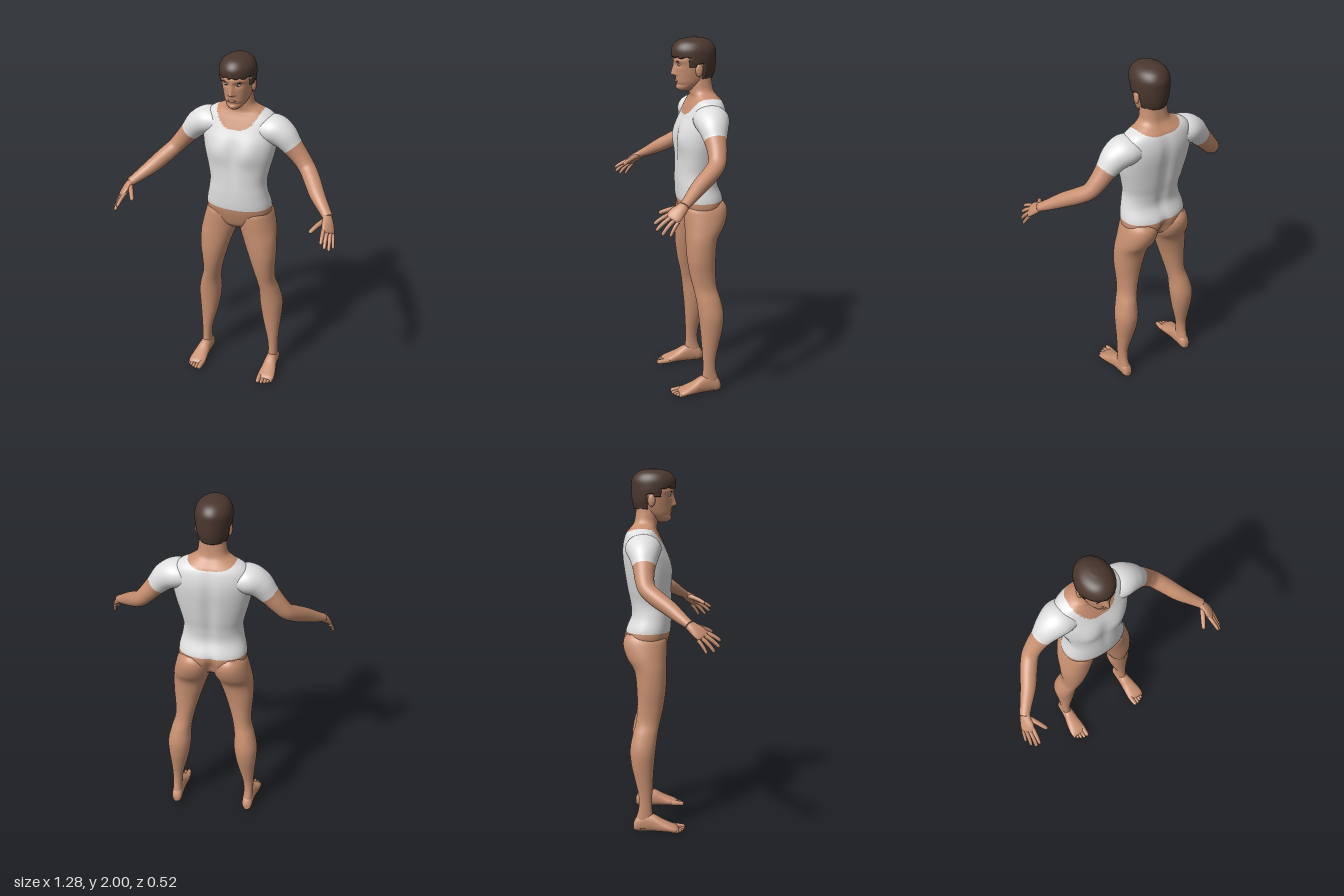
import * as THREE from 'three';

const flat = (name, color) => Object.assign(new THREE.MeshStandardMaterial({ color }), { name });
const V = (x, y, z) => new THREE.Vector3(x, y, z);
const bump = (d, w) => Math.exp(-(d * d) / (w * w));

// Smooth interpolation through the rows of a section list
function sample(rows, t) {
  const f = t * (rows.length - 1), i = Math.min(Math.floor(f), rows.length - 2), u = f - i;
  const at = k => rows[Math.max(0, Math.min(rows.length - 1, k))];
  return rows[i].map((_, c) => {
    const p0 = at(i - 1)[c], p1 = at(i)[c], p2 = at(i + 1)[c], p3 = at(i + 2)[c];
    return p1 + 0.5 * u * (p2 - p0 + u * (2 * p0 - 5 * p1 + 4 * p2 - p3 + u * (3 * (p1 - p2) + p3 - p0)));
  });
}

// Loft through rows [x, y, z, a, b]: a is the radius along ref, b the radius across it.
// axis fixes the section normal; otherwise it follows the path.
function loft(name, rows, mats, { ref = V(1, 0, 0), axis, segs = 32, steps = 40, n = 2, warp, paint } = {}) {
  const pos = [], faces = [];
  const row = t => sample(rows, Math.max(0, Math.min(1, t)));
  const pt = r => V(r[0], r[1], r[2]);
  const pw = c => Math.sign(c) * Math.abs(c) ** (2 / n);
  for (let i = 0; i <= steps; i++) {
    const t = i / steps, r = row(t);
    const T = axis || pt(row(t + 0.02)).sub(pt(row(t - 0.02))).normalize();
    const u = ref.clone().addScaledVector(T, -T.dot(ref)).normalize(), v = T.clone().cross(u);
    for (let j = 0; j < segs; j++) {
      const q = (j / segs) * Math.PI * 2;
      const p = pt(r).addScaledVector(u, r[3] * pw(Math.cos(q))).addScaledVector(v, r[4] * pw(Math.sin(q)));
      if (warp) warp(p);
      pos.push(p.x, p.y, p.z);
    }
  }
  for (let i = 0; i < steps; i++) for (let j = 0; j < segs; j++) {
    const k = (j + 1) % segs, a = i * segs + j, b = i * segs + k;
    faces.push([a, b, b + segs], [a, b + segs, a + segs]);
  }
  // End caps
  const last = steps * segs, c0 = pos.length / 3;
  pos.push(...rows[0].slice(0, 3), ...rows[rows.length - 1].slice(0, 3));
  for (let j = 0; j < segs; j++) {
    const k = (j + 1) % segs;
    faces.push([c0, k, j], [c0 + 1, last + j, last + k]);
  }
  const geo = new THREE.BufferGeometry();
  geo.setAttribute('position', new THREE.Float32BufferAttribute(pos, 3));
  // Sort faces into one group per colour
  if (paint) {
    const sets = mats.map(() => []);
    for (const f of faces) {
      const m = V(0, 0, 0);
      f.forEach(k => m.add(V(pos[k * 3], pos[k * 3 + 1], pos[k * 3 + 2])));
      sets[paint(m.divideScalar(3))].push(...f);
    }
    let start = 0;
    sets.forEach((s, k) => { geo.addGroup(start, s.length, k); start += s.length; });
    geo.setIndex(sets.flat());
  } else geo.setIndex(faces.flat());
  geo.computeVertexNormals();
  const mesh = new THREE.Mesh(geo, mats);
  mesh.name = name;
  return mesh;
}

// Horizontal section: height, x range, front z, back z
const slab = (y, x0, x1, zf, zb) => [(x0 + x1) / 2, y, (zf + zb) / 2, Math.abs(x1 - x0) / 2, (zf - zb) / 2];
const even = ([y, r, zf, zb]) => slab(y, -r, r, zf, zb);
const UP = V(0, 1, 0);

export function createModel() {
  const skin = flat('skin', 0xc78f70), shirt = flat('shirt white', 0xe0e0e0), hair = flat('hair brown', 0x4a372e);
  const lip = flat('lip', 0xb0745c), white = flat('eye white', 0xe8e4de), dark = flat('iris dark', 0x33241c);
  const model = new THREE.Group();
  model.name = 'standingMan';
  const ball = (name, mat, p, s) => {
    const m = new THREE.Mesh(new THREE.SphereGeometry(1, 20, 14).scale(...s).translate(...p), mat);
    m.name = name;
    return m;
  };

  // Torso, pelvis and neck, with the shirt as a colour region
  const torso = [
    [0.965, 0.04, -0.07, -0.16], [1.0, 0.12, -0.03, -0.215], [1.06, 0.18, -0.008, -0.245], [1.12, 0.187, 0.005, -0.247],
    [1.2, 0.17, 0.01, -0.218], [1.27, 0.163, 0.01, -0.222], [1.35, 0.178, 0.008, -0.238], [1.44, 0.2, 0.005, -0.252],
    [1.52, 0.212, -0.006, -0.262], [1.58, 0.212, -0.028, -0.262], [1.63, 0.2, -0.05, -0.252], [1.662, 0.17, -0.065, -0.238],
    [1.685, 0.122, -0.072, -0.218], [1.712, 0.083, -0.068, -0.2], [1.76, 0.072, -0.065, -0.19], [1.82, 0.068, -0.07, -0.185],
  ];
  model.add(loft('torso', torso.map(even), [skin, shirt], {
    axis: UP, segs: 72, steps: 130, n: 2.25,
    warp: p => {
      const ax = Math.abs(p.x);
      if (p.z > -0.1) p.z += 0.016 * bump(ax - 0.085, 0.06) * bump(p.y - 1.46, 0.07) - 0.006 * bump(ax, 0.02) * bump(p.y - 1.4, 0.15);
      else p.z += 0.014 * bump(ax, 0.03) * bump(p.y - 1.4, 0.24) + 0.03 * bump(ax, 0.025) * bump(p.y - 1.04, 0.06);
    },
    paint: m => {
      const neckline = m.z > -0.15 ? 1.585 + (Math.abs(m.x) / 0.13) ** 3 * 0.1 : 1.655 + (Math.abs(m.x) / 0.13) ** 3 * 0.03;
      return m.y > 1.11 && m.y < neckline ? 1 : 0;
    },
  }));

  // Head with brow, eye sockets, nose and chin
  const head = [
    [1.712, 0.02, -0.015, -0.06], [1.728, 0.042, 0.002, -0.1], [1.755, 0.061, 0.008, -0.155], [1.785, 0.072, 0.01, -0.183],
    [1.82, 0.08, 0.012, -0.195], [1.86, 0.086, 0.015, -0.2], [1.9, 0.088, 0.018, -0.2], [1.94, 0.082, 0.01, -0.195],
    [1.972, 0.055, -0.02, -0.165], [1.985, 0.02, -0.06, -0.12],
  ];
  model.add(loft('head', head.map(even), skin, {
    axis: UP, segs: 96, steps: 90,
    warp: p => {
      if (p.z < -0.04) return;
      const ax = Math.abs(p.x), s = (1.872 - p.y) / 0.066;
      const nose = s < 0 ? 0 : s < 1 ? 0.004 + 0.024 * s : 0.028 * bump(s - 1, 0.12);
      p.z += nose * bump(p.x, 0.009 + 0.007 * Math.max(0, Math.min(1, s)));
      p.z += 0.005 * bump(p.y - 1.88, 0.012) - 0.009 * bump(ax - 0.034, 0.017) * bump(p.y - 1.857, 0.013);
      p.z += 0.005 * bump(p.x, 0.02) * bump(p.y - 1.73, 0.012) - 0.004 * bump(p.y - 1.75, 0.008);
    },
  }));
  model.add(ball('lips', lip, [0, 1.769, 0.006], [0.023, 0.007, 0.009]));

  // Hair cap: below the hairline the shell tucks into the head
  const cap = [
    [1.775, 0.075, 0, -0.193], [1.82, 0.088, 0.015, -0.206], [1.86, 0.094, 0.024, -0.211], [1.9, 0.098, 0.031, -0.212],
    [1.94, 0.095, 0.032, -0.21], [1.972, 0.078, 0.012, -0.19], [1.991, 0.05, -0.02, -0.16], [2.0, 0.015, -0.07, -0.12],
  ];
  model.add(loft('hair', cap.map(even), hair, {
    axis: UP, segs: 80, steps: 70,
    warp: p => {
      const line = p.z > -0.045 ? 1.897 + 0.005 * Math.sin(p.x * 170) : p.z > -0.085 ? 1.85 : p.z > -0.125 ? 1.865 : 1.785;
      if (p.y < line) { p.x *= 0.86; p.z = -0.09 + (p.z + 0.09) * 0.84; }
    },
  }));

  for (const s of [1, -1]) {
    const side = s > 0 ? 'left' : 'right';
    const flip = rows => rows.map(([x, ...r]) => [x * s, ...r]);
    const limb = (part, rows, mats, opts) => model.add(loft(side + part, flip(rows), mats, opts));

    // Eyes, brows and ears
    model.add(
      ball(side + 'Eye', white, [s * 0.034, 1.857, -0.001], [0.013, 0.006, 0.005]),
      ball(side + 'Iris', dark, [s * 0.033, 1.857, 0.002], [0.005, 0.005, 0.004]),
      ball(side + 'Brow', hair, [s * 0.036, 1.877, 0.008], [0.02, 0.004, 0.005]),
      ball(side + 'Ear', skin, [s * 0.087, 1.832, -0.1], [0.011, 0.034, 0.021]));

    // Arm, with the sleeve as a colour region
    limb('Arm', [
      [0.1, 1.575, -0.145, 0.06, 0.085], [0.185, 1.58, -0.143, 0.078, 0.097], [0.247, 1.55, -0.139, 0.074, 0.082],
      [0.3, 1.493, -0.137, 0.058, 0.061], [0.35, 1.435, -0.134, 0.049, 0.051], [0.393, 1.385, -0.118, 0.044, 0.047],
      [0.435, 1.345, -0.07, 0.044, 0.046], [0.485, 1.3, -0.002, 0.04, 0.042], [0.54, 1.257, 0.058, 0.03, 0.033],
      [0.578, 1.23, 0.1, 0.022, 0.028],
    ], [skin, shirt], {
      ref: UP, segs: 40, steps: 90,
      paint: m => (0.68 * Math.abs(m.x) - 0.73 * m.y > -0.886 ? 0 : 1),
    });

    // Hand
    limb('Palm', [
      [0.57, 1.236, 0.09, 0.026, 0.02], [0.582, 1.217, 0.116, 0.034, 0.02], [0.592, 1.197, 0.143, 0.041, 0.017],
      [0.601, 1.178, 0.163, 0.038, 0.012], [0.604, 1.172, 0.169, 0.026, 0.006],
    ], skin, { ref: V(0.65 * s, -0.5, -0.5), segs: 24, steps: 20 });
    const digit = (name, a, b, r, lift = 0) => {
      const at = (t, k, up) => [0, 1, 2].map(i => a[i] + (b[i] - a[i]) * t + (i === 1 ? up : 0)).concat(r * k, r * k);
      limb(name, [at(0, 1, 0), at(0.33, 1, lift), at(0.66, 0.92, lift), at(0.93, 0.75, 0), at(1, 0.2, 0)], skin,
        { ref: V(0, 1, 0.2), segs: 12, steps: 16 });
    };
    digit('Thumb', [0.568, 1.222, 0.115], [0.511, 1.185, 0.216], 0.014, 0.004);
    digit('IndexFinger', [0.573, 1.2, 0.155], [0.586, 1.152, 0.257], 0.0115, 0.005);
    digit('MiddleFinger', [0.591, 1.188, 0.158], [0.604, 1.122, 0.25], 0.0115, 0.005);
    digit('RingFinger', [0.607, 1.174, 0.152], [0.623, 1.1, 0.224], 0.011, 0.005);
    digit('LittleFinger', [0.618, 1.162, 0.138], [0.636, 1.095, 0.184], 0.01, 0.004);

    // Leg from ankle to buttock
    const leg = [
      [0.02, 0.187, 0.243, -0.1, -0.198], [0.07, 0.186, 0.244, -0.095, -0.192], [0.13, 0.188, 0.243, -0.1, -0.176],
      [0.2, 0.18, 0.244, -0.1, -0.175], [0.3, 0.155, 0.251, -0.094, -0.197], [0.38, 0.138, 0.258, -0.088, -0.215],
      [0.465, 0.127, 0.26, -0.079, -0.222], [0.55, 0.126, 0.242, -0.068, -0.207], [0.62, 0.115, 0.222, -0.054, -0.188],
      [0.7, 0.095, 0.22, -0.036, -0.182], [0.8, 0.066, 0.227, -0.022, -0.184], [0.9, 0.033, 0.226, -0.019, -0.197],
      [0.97, 0.008, 0.217, -0.018, -0.238], [1.03, 0.002, 0.203, -0.016, -0.258], [1.075, 0.012, 0.188, -0.02, -0.256],
      [1.105, 0.05, 0.165, -0.05, -0.235],
    ];
    limb('Leg', leg.map(r => slab(...r)), skin, { axis: UP, ref: V(1, 0, 0), segs: 40, steps: 90, n: 2.1 });

    // Foot and toes
    limb('Foot', [
      [0.214, 0.03, -0.205, 0.016, 0.018], [0.214, 0.042, -0.185, 0.029, 0.041], [0.215, 0.052, -0.135, 0.033, 0.052],
      [0.217, 0.049, -0.09, 0.037, 0.049], [0.221, 0.036, -0.045, 0.044, 0.036], [0.223, 0.025, 0, 0.05, 0.025],
      [0.224, 0.018, 0.03, 0.049, 0.018], [0.222, 0.014, 0.046, 0.04, 0.01],
    ], skin, { axis: V(0, 0, 1), segs: 32, steps: 40, n: 2.2 });
    [[0.19, 0.084, 0.0155], [0.212, 0.083, 0.0115], [0.231, 0.075, 0.011], [0.248, 0.064, 0.0105], [0.263, 0.05, 0.01]]
      .forEach(([x, z, r], i) => digit('Toe' + (i + 1), [x - 0.003, r + 0.006, 0.005], [x, r, z], r));
  }
  return model;
}
